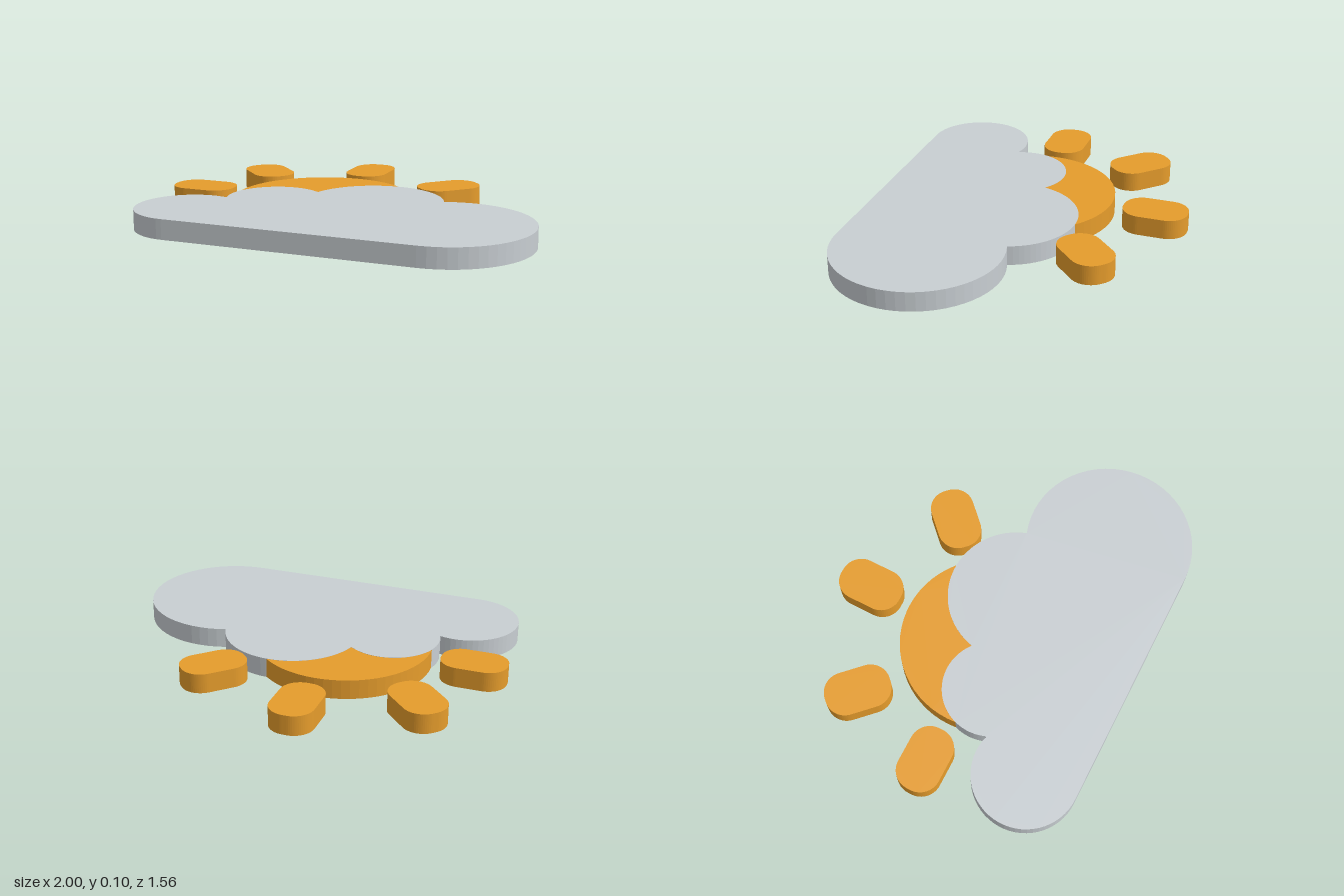
import * as THREE from 'three';

const HEIGHT = 0.1;

// Extrude a plan-view outline (shape y = -z) upward from the ground
function slab(name, shape, material, base = 0, height = HEIGHT, segments = 16) {
  const geometry = new THREE.ExtrudeGeometry(shape, { depth: height, bevelEnabled: false, curveSegments: segments });
  geometry.rotateX(-Math.PI / 2);
  const mesh = new THREE.Mesh(geometry, material);
  mesh.name = name;
  mesh.position.y = base;
  return mesh;
}

// Rounded rectangle, long along x
function rayShape(length, width, r) {
  const x = length / 2 - r, y = width / 2 - r, q = Math.PI / 2;
  const shape = new THREE.Shape();
  shape.absarc(x, y, r, 0, q);
  shape.absarc(-x, y, r, q, 2 * q);
  shape.absarc(-x, -y, r, 2 * q, 3 * q);
  shape.absarc(x, -y, r, 3 * q, 4 * q);
  shape.closePath();
  return shape;
}

// Counterclockwise chain of lobes: centre, radius, start point, end point
function cloudShape() {
  const lobes = [
    [0.578, -0.352, 0.422, [0.578, -0.775], [0.44, 0.047]],
    [0.11, -0.062, 0.345, [0.44, 0.047], [-0.235, 0.02]],
    [-0.38, -0.17, 0.24, [-0.235, 0.02], [-0.605, -0.255]],
    [-0.682, -0.512, 0.263, [-0.605, -0.255], [-0.682, -0.775]],
  ];
  const shape = new THREE.Shape();
  for (const [cx, cy, r, a, b] of lobes) {
    shape.absarc(cx, cy, r, Math.atan2(a[1] - cy, a[0] - cx), Math.atan2(b[1] - cy, b[0] - cx), false);
  }
  shape.closePath();
  return shape;
}

export function createModel() {
  const group = new THREE.Group();
  group.name = 'sunBehindCloud';
  const grey = new THREE.MeshStandardMaterial({ color: 0xc8ced2 });
  const orange = new THREE.MeshStandardMaterial({ color: 0xe59c2c });

  // Cloud
  group.add(slab('cloud', cloudShape(), grey));

  // Sun disc, a hair thinner so the cloud covers it cleanly
  const disc = new THREE.Shape();
  disc.absarc(-0.17, -0.05, 0.44, 0, Math.PI * 2);
  group.add(slab('sunDisc', disc, orange, 0.001, HEIGHT - 0.002, 32));

  // Rays: x, z, turn
  const rays = [
    [-0.835, 0.05, 0],
    [-0.682, -0.405, -Math.PI / 4],
    [-0.17, -0.615, Math.PI / 2],
    [0.345, -0.405, Math.PI / 4],
  ];
  rays.forEach(([x, z, turn], i) => {
    const ray = slab(`sunRay${i + 1}`, rayShape(0.33, 0.22, 0.1), orange, 0, HEIGHT, 8);
    ray.position.set(x, 0, z);
    ray.rotation.y = turn;
    group.add(ray);
  });

  return group;
}
